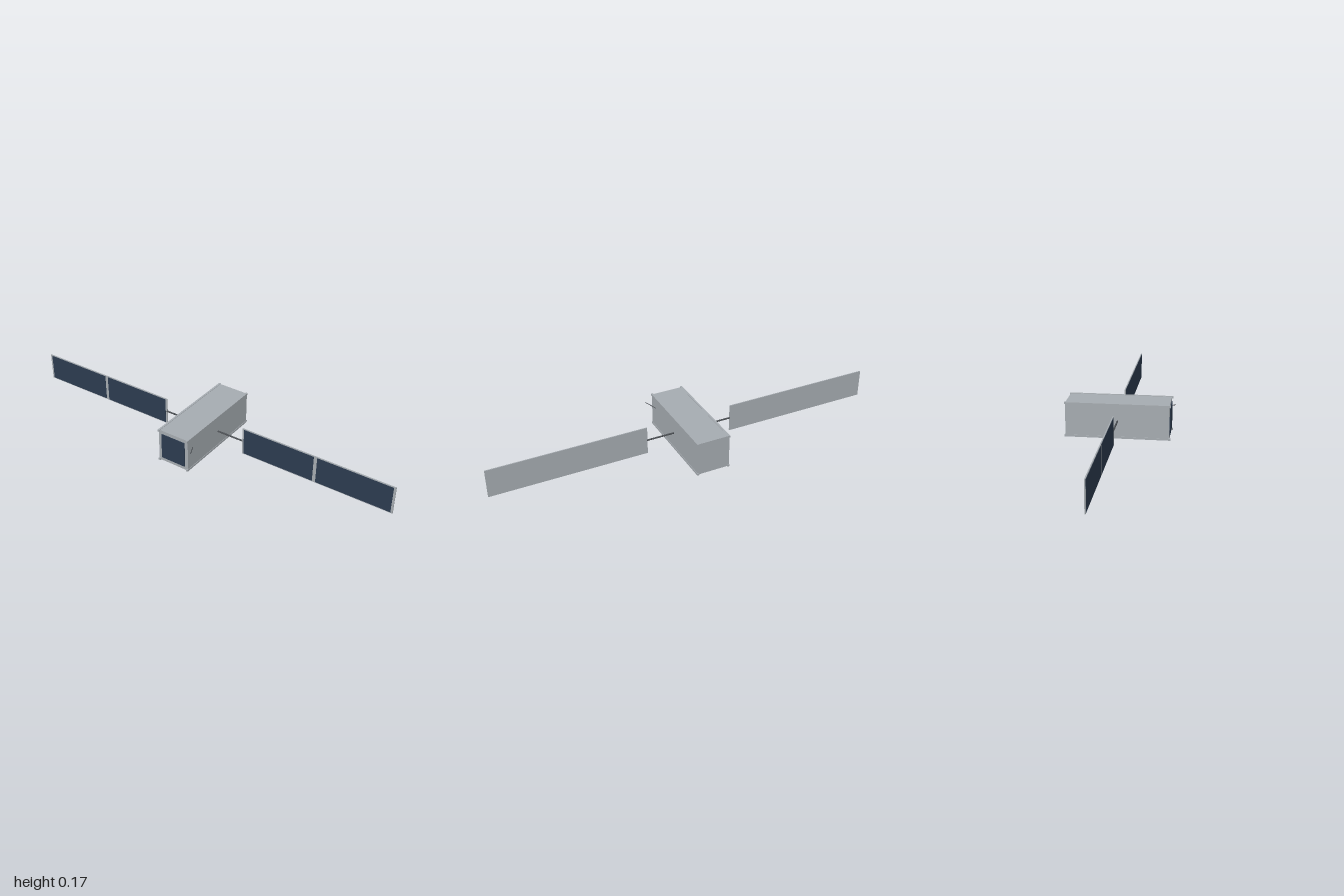
import * as THREE from 'three';

export function createModel() {
  const model = new THREE.Group();
  model.name = 'satellite';
  const mat = (name, color) => {
    const m = new THREE.MeshStandardMaterial({ color });
    m.name = name;
    return m;
  };
  const aluminium = mat('aluminium grey', 0xa6acb1);
  const solarBlue = mat('solar cell blue', 0x2c3b4f);
  const darkMetal = mat('dark metal', 0x4a4e52);

  const CY = 0.086, WING_Z = -0.004;

  const box = (name, material, size, pos, parent = model) => {
    const mesh = new THREE.Mesh(new THREE.BoxGeometry(...size), material);
    mesh.name = name;
    mesh.position.set(...pos);
    parent.add(mesh);
    return mesh;
  };

  // Thin round bar between two points
  const rod = (name, a, b, radius, parent = model) => {
    const from = new THREE.Vector3(...a), to = new THREE.Vector3(...b);
    const dir = to.clone().sub(from);
    const mesh = new THREE.Mesh(new THREE.CylinderGeometry(radius, radius, dir.length(), 12), darkMetal);
    mesh.name = name;
    mesh.position.copy(from).add(to).multiplyScalar(0.5);
    mesh.quaternion.setFromUnitVectors(new THREE.Vector3(0, 1, 0), dir.normalize());
    parent.add(mesh);
  };

  // Main body with a solar panel on the front face
  box('body', aluminium, [0.166, 0.168, 0.5], [0, CY, -0.006]);
  box('frontSolarPanel', solarBlue, [0.132, 0.132, 0.004], [0, CY, 0.2455]);

  // Corner rails that stick out past both ends
  for (const sx of [-1, 1]) {
    for (const sy of [-1, 1]) {
      box('cornerRail', aluminium, [0.01, 0.01, 0.51], [sx * 0.08, CY + sy * 0.081, -0.005]);
    }
  }

  // Solar wings: boom, backing plate and two cell panels on each side
  for (const s of [-1, 1]) {
    const wing = new THREE.Group();
    wing.name = s > 0 ? 'leftWing' : 'rightWing';
    model.add(wing);
    rod('wingBoom', [s * 0.08, CY, WING_Z], [s * 0.224, CY, WING_Z], 0.004, wing);
    box('wingPlate', aluminium, [0.778, 0.142, 0.005], [s * 0.611, CY, WING_Z - 0.0005], wing);
    for (const x of [0.4165, 0.8045]) {
      box('cellPanel', solarBlue, [0.371, 0.134, 0.002], [s * x, CY, WING_Z + 0.002], wing);
    }
  }

  // Short antenna on the left side, pointing forward and outward
  rod('antenna', [0.082, 0.112, 0.203], [0.111, 0.121, 0.261], 0.0018);

  return model;
}
